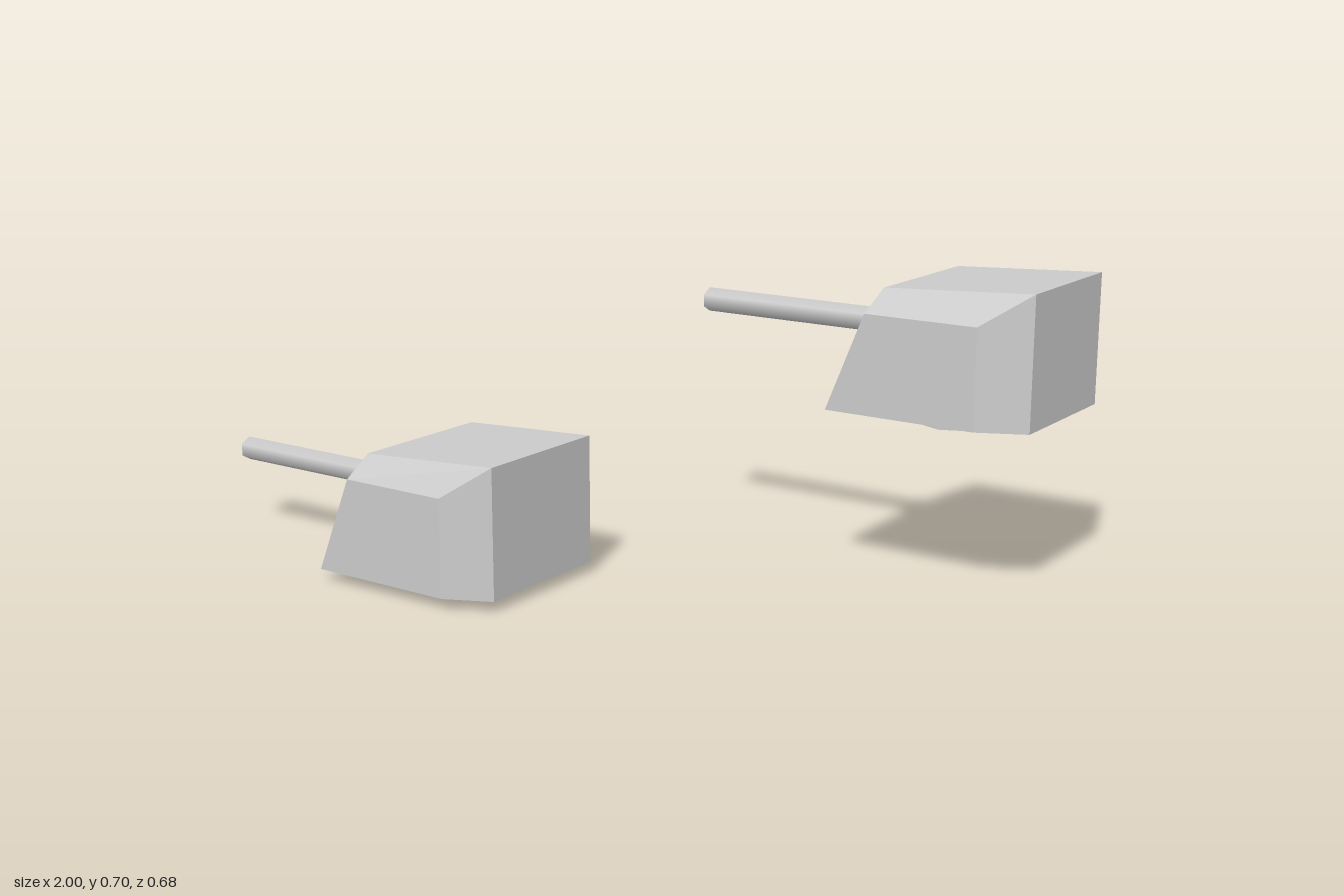
import * as THREE from 'three';
import { ConvexGeometry } from 'three/addons/geometries/ConvexGeometry.js';

const smooth = new THREE.MeshStandardMaterial({ color: 0xcccccc });
const flat = new THREE.MeshStandardMaterial({ color: 0xcccccc, flatShading: true });
const AXIS_Y = 0.193; // height of the gun axis

function part(name, geometry, material) {
  const mesh = new THREE.Mesh(geometry, material);
  mesh.name = name;
  return mesh;
}

// Six-sided tube along +z from z0 to z1, with a corner on top
function hexTube(r0, r1, z0, z1) {
  return new THREE.CylinderGeometry(r1, r0, z1 - z0, 6)
    .rotateX(Math.PI / 2)
    .translate(0, 0, (z0 + z1) / 2);
}

// One turret, gun pointing along its local +z
function createTurret(name) {
  const turret = new THREE.Group();
  turret.name = name;

  // Armoured housing: half of its corners, mirrored across x
  const corners = [
    [0.223, 0.025, 0.243], [0.223, 0.025, -0.116], [0.172, 0.025, -0.222], // floor
    [0.223, 0.25, 0.151], [0.223, 0.25, -0.116],                           // shoulder
    [0.177, 0.303, 0.129], [0.172, 0.323, -0.222],                         // roof
  ];
  const points = corners.flatMap(([x, y, z]) =>
    [new THREE.Vector3(x, y, z), new THREE.Vector3(-x, y, z)]);
  turret.add(part('housing', new ConvexGeometry(points), flat));

  // Octagonal turning ring
  const ring = part('turningRing', new THREE.CylinderGeometry(0.152, 0.152, 0.03, 8), smooth);
  ring.position.y = 0.015;
  turret.add(ring);

  // Tapered sleeve where the gun leaves the sloped front
  const sleeve = part('gunSleeve', hexTube(0.1, 0.038, 0.11, 0.24), smooth);
  sleeve.scale.x = 0.75;
  sleeve.position.y = AXIS_Y;
  turret.add(sleeve);

  // Barrel
  const barrel = part('barrel', hexTube(0.0285, 0.0285, 0.14, 0.697), smooth);
  barrel.position.y = AXIS_Y;
  turret.add(barrel);

  turret.rotation.y = Math.atan2(-0.825, -0.565);
  return turret;
}

export function createModel() {
  const model = new THREE.Group();
  model.name = 'turretPair';

  const lower = createTurret('lowerTurret');
  lower.position.set(-0.413, 0, 0.075);
  const upper = createTurret('upperTurret');
  upper.position.set(0.717, 0.375, 0.075);

  model.add(lower, upper);
  return model;
}
